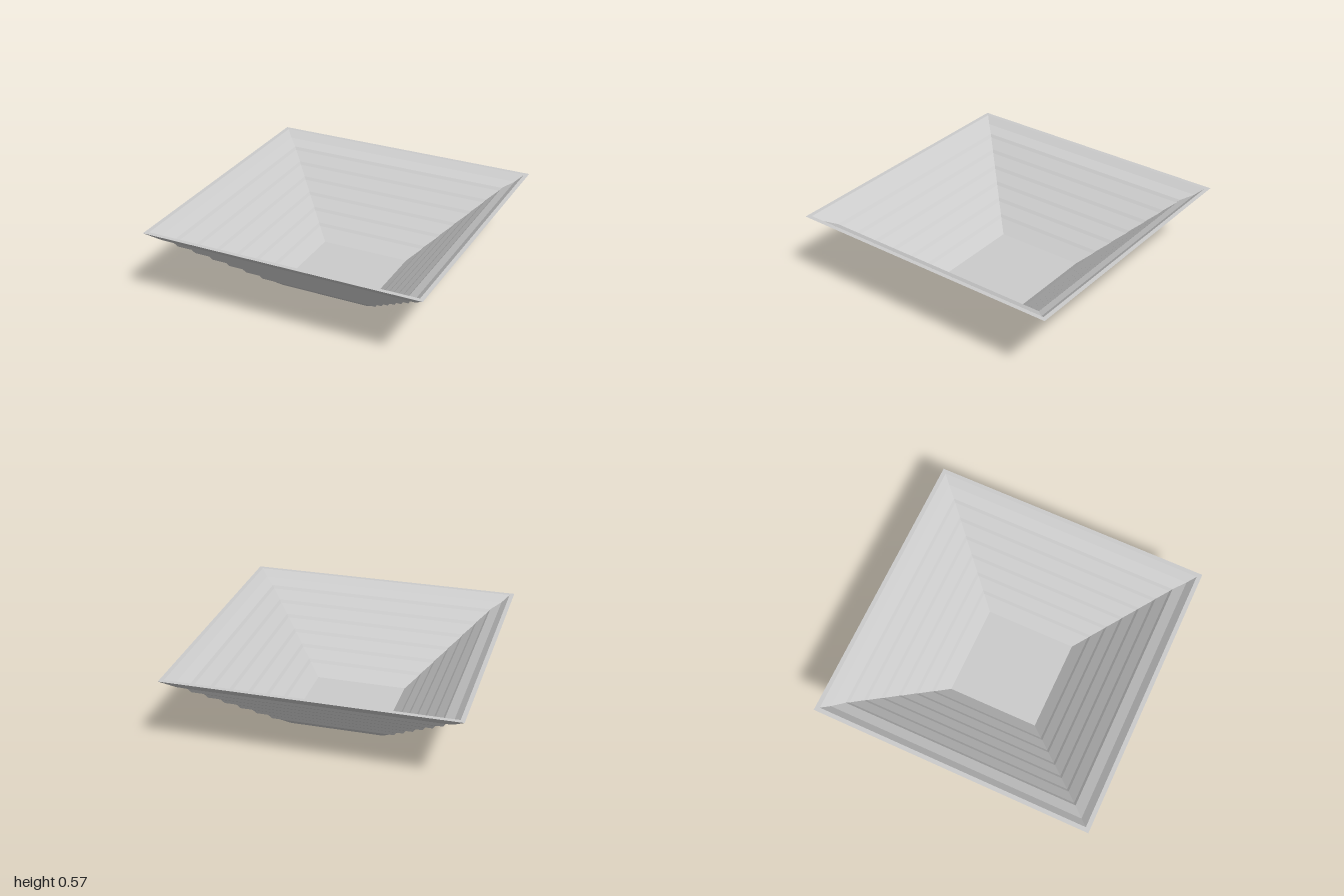
import * as THREE from 'three';

const STEPS = 6;

// Outer wall: half-width and height, from the foot up to the rim
function outerProfile() {
  const p = [[0, 0], [0.33, 0]];
  for (let k = 0; k < STEPS; k++) {
    const x = 0.416 + 0.0815 * k, y = 0.074 + 0.0715 * k;
    p.push([x, y], [x + 0.018, y + 0.005], [x + 0.036, y + 0.037]);
  }
  p.push([0.915, 0.503], [1, 0.575]);
  return p;
}

// Inner wall: softer ridges, from the floor up to the rim
function innerProfile() {
  const p = [[0, 0.027], [0.33, 0.027]];
  for (let k = 0; k < STEPS; k++) {
    const x = 0.415 + 0.0835 * k, y = 0.1 + 0.0755 * k;
    p.push([x, y], [x + 0.016, y + 0.019]);
  }
  p.push([0.92, 0.531], [0.97, 0.575]);
  return p;
}

// Sweeps a profile round four flat sides
function squareLathe(profile) {
  const pts = profile.map(([x, y]) => new THREE.Vector2(x * Math.SQRT2, y));
  const geo = new THREE.LatheGeometry(pts, 4).rotateY(Math.PI / 4).toNonIndexed();
  geo.computeVertexNormals();
  return geo;
}

export function createModel() {
  const group = new THREE.Group();
  group.name = 'squareBowl';
  const grey = new THREE.MeshStandardMaterial({ color: 0xcccccc, flatShading: true });
  grey.name = 'light grey';

  const parts = {
    outerWall: outerProfile(),
    rim: [[1, 0.575], [0.97, 0.575]],
    innerWall: innerProfile().reverse(),
  };
  for (const [name, profile] of Object.entries(parts)) {
    const mesh = new THREE.Mesh(squareLathe(profile), grey);
    mesh.name = name;
    group.add(mesh);
  }
  return group;
}
